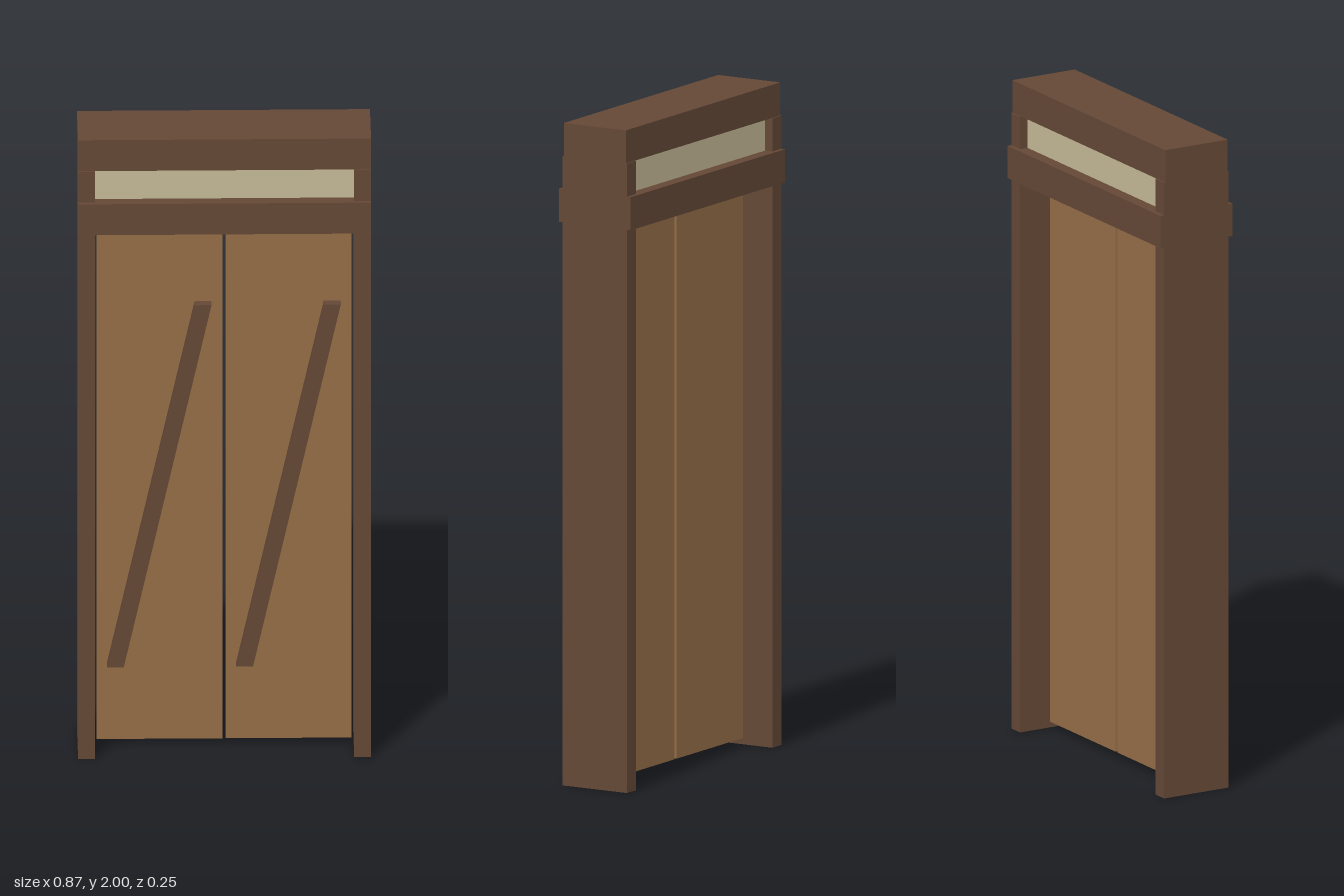
import * as THREE from 'three';

const frameMat = new THREE.MeshStandardMaterial({ color: 0x644836 });
const doorMat = new THREE.MeshStandardMaterial({ color: 0x946d47 });
const glassMat = new THREE.MeshStandardMaterial({ color: 0xc4b896 });

// Box given by its centre x, its bottom and top, and its centre z
function box(name, mat, width, y0, y1, depth, x = 0, z = 0) {
  const mesh = new THREE.Mesh(new THREE.BoxGeometry(width, y1 - y0, depth), mat);
  mesh.name = name;
  mesh.position.set(x, (y0 + y1) / 2, z);
  return mesh;
}

export function createModel() {
  const model = new THREE.Group();
  model.name = 'doubleDoor';

  // Frame: head beam, cross beam below the transom, side posts
  model.add(box('headBeam', frameMat, 0.868, 1.9, 2, 0.216));
  model.add(box('crossBeam', frameMat, 0.868, 1.7, 1.8, 0.25));
  for (const [side, s] of [['left', 1], ['right', -1]]) {
    model.add(box(side + 'Post', frameMat, 0.05, 0, 1.9, 0.224, s * 0.409));
  }

  // Transom window
  model.add(box('transomWindow', glassMat, 0.768, 1.8, 1.9, 0.172));

  // Door leaves, each with a slanted handle bar on the front
  const slant = 0.26, y0 = 0.265, y1 = 1.435;
  for (const [side, s] of [['left', 1], ['right', -1]]) {
    const leaf = new THREE.Group();
    leaf.name = side + 'Door';
    leaf.add(box('doorPanel', doorMat, 0.373, 0.02, 1.7, 0.025, s * 0.1915));

    const handle = box('handleBar', frameMat, 0.05, y0, y1, 0.03, s * 0.1915 - 0.001, 0.0275);
    // Shear sideways so that the ends stay level
    const k = slant / (y1 - y0);
    handle.geometry.applyMatrix4(new THREE.Matrix4().set(1, k, 0, 0, 0, 1, 0, 0, 0, 0, 1, 0, 0, 0, 0, 1));
    handle.geometry.computeVertexNormals();
    leaf.add(handle);
    model.add(leaf);
  }
  return model;
}
